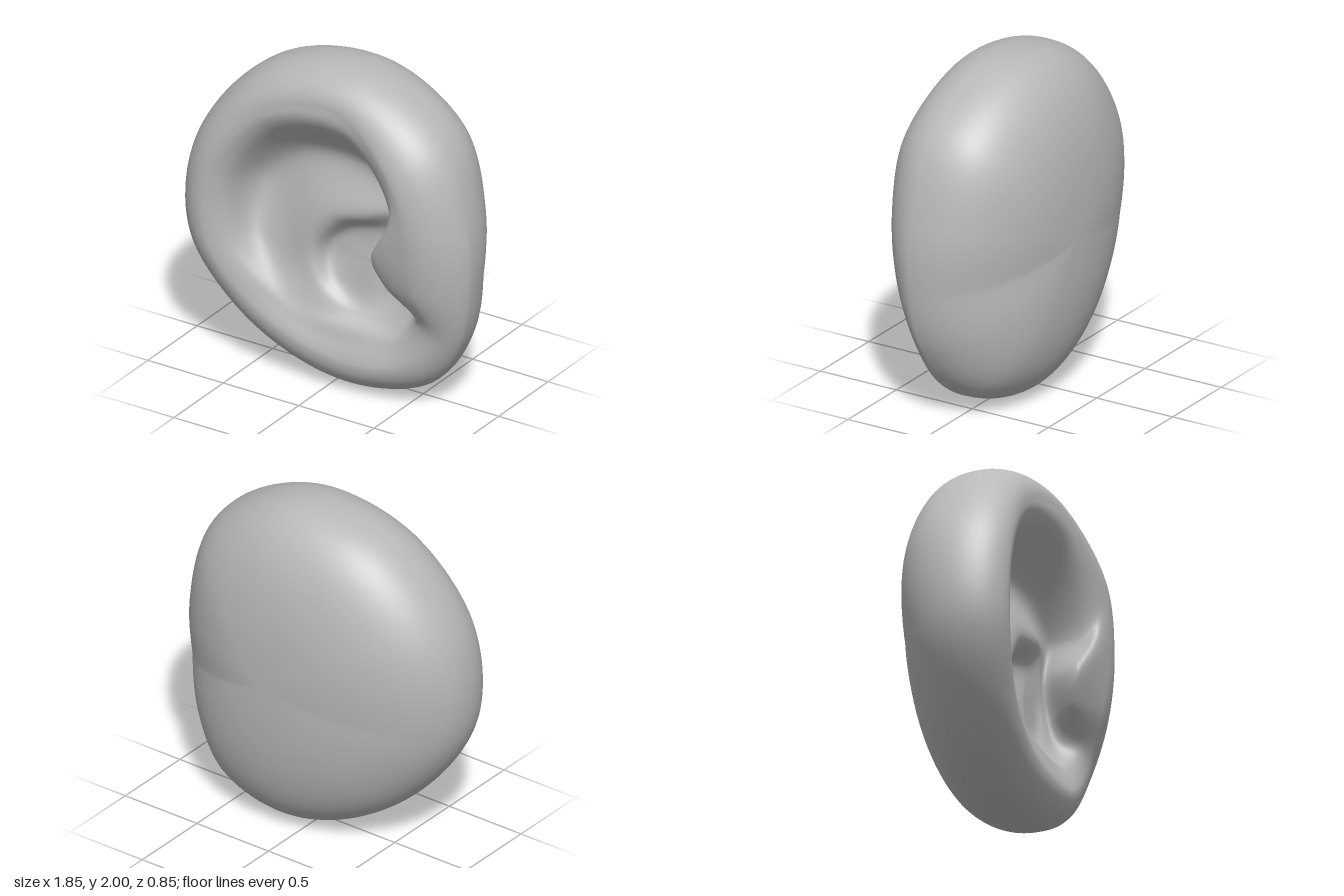
import * as THREE from 'three';

const AROUND = 144; // columns around the ear
const CENTRE = new THREE.Vector3(0.22, 0.76, 0.06); // middle of the hollow
const BACK = new THREE.Vector3(0.1, 0.97, -0.43); // middle of the rounded back

// Closed smooth loop through twelve points, counter-clockwise from +x
function loop(...p) {
  const points = [];
  for (let i = 0; i < p.length; i += 3) points.push(new THREE.Vector3(p[i], p[i + 1], p[i + 2]));
  return new THREE.CatmullRomCurve3(points, true, 'centripetal');
}

// Widest outline
const outline = loop(
  0.915, 0.8, 0.15, 0.905, 1.2, 0.15, 0.725, 1.7, 0.12, 0.2, 1.985, 0.08,
  -0.42, 1.885, 0.08, -0.845, 1.4, 0.1, -0.9, 0.8, 0.13, -0.61, 0.33, 0.1,
  -0.2, 0.065, 0.05, 0.2, 0.003, 0.02, 0.6, 0.125, 0.05, 0.83, 0.44, 0.12);
// Highest line of the rim
const crest = loop(
  0.65, 0.8, 0.35, 0.64, 1.15, 0.4, 0.54, 1.5, 0.41, 0.17, 1.8, 0.35,
  -0.35, 1.69, 0.37, -0.67, 1.28, 0.42, -0.69, 0.8, 0.41, -0.47, 0.46, 0.34,
  -0.15, 0.26, 0.29, 0.2, 0.2, 0.27, 0.5, 0.27, 0.25, 0.69, 0.52, 0.24);
// Inner lip of the rim, bulging into the flap on the right
const lip = loop(
  0.42, 0.78, 0.28, 0.37, 0.96, 0.33, 0.495, 1.23, 0.32, 0.2, 1.64, 0.32,
  -0.3, 1.58, 0.33, -0.56, 1.24, 0.35, -0.56, 0.8, 0.34, -0.33, 0.5, 0.28,
  -0.1, 0.36, 0.25, 0.2, 0.33, 0.23, 0.45, 0.38, 0.21, 0.6, 0.57, 0.22);
// Foot of the rim wall, tucked under the flap
const foot = loop(
  0.5, 0.76, 0.1, 0.46, 0.95, 0.1, 0.46, 1.19, 0.1, 0.2, 1.37, 0.08,
  -0.2, 1.35, 0.08, -0.45, 1.13, 0.1, -0.47, 0.85, 0.17, -0.27, 0.57, 0.22,
  -0.08, 0.43, 0.22, 0.2, 0.4, 0.2, 0.42, 0.43, 0.17, 0.52, 0.57, 0.12);
// Edge and floor of the inner hollow
const hollowEdge = loop(
  0.46, 0.76, 0.06, 0.42, 0.92, 0.06, 0.37, 1.1, 0.09, 0.17, 1.09, 0.14,
  -0.03, 1.03, 0.16, -0.15, 0.88, 0.17, -0.16, 0.74, 0.17, -0.08, 0.58, 0.17,
  0.05, 0.49, 0.16, 0.2, 0.46, 0.14, 0.36, 0.48, 0.12, 0.45, 0.6, 0.08);
const hollowFloor = loop(
  0.4, 0.76, 0.04, 0.36, 0.86, 0.04, 0.31, 0.96, 0.04, 0.2, 0.96, 0.04,
  0.08, 0.92, 0.04, -0.02, 0.84, 0.05, -0.05, 0.75, 0.06, -0.01, 0.65, 0.08,
  0.08, 0.58, 0.09, 0.2, 0.56, 0.09, 0.3, 0.58, 0.07, 0.38, 0.65, 0.05);

// Quarter of a rounded arch of power p, from a rim point to a crown point
function dome(rim, crown, a, p) {
  const point = crown.clone().lerp(rim, Math.max(0, Math.cos(a)) ** (2 / p));
  point.z = rim.z + (crown.z - rim.z) * Math.sin(a) ** (2 / p);
  return point;
}

// One column from the back, over the rim, into the hollow
function column(t) {
  const [rim, top, ...inner] = [outline, crest, lip, foot, hollowEdge, hollowFloor].map((c) => c.getPoint(t));
  const angle = t * Math.PI * 2;
  const backPower = 2 + 0.58 * Math.abs(Math.sin(angle)) ** 1.3; // fuller above and below
  const frontPower = 2 - 0.25 * Math.max(0, Math.cos(angle)); // flatter beside the flap
  const line = [];
  for (let i = 1; i <= 24; i++) line.push(dome(rim, BACK, (1 - i / 24) * Math.PI / 2, backPower));
  for (let i = 1; i < 14; i++) line.push(dome(rim, top, (i / 14) * Math.PI / 2, frontPower));
  const lead = dome(rim, top, Math.PI * 0.33, frontPower);
  const bowl = new THREE.CatmullRomCurve3([lead, top, ...inner, CENTRE], false, 'catmullrom', 0.5);
  for (let i = 0; i < 50; i++) line.push(bowl.getPoint(1 / 6 + (5 / 6) * (i / 50)));
  return line;
}

function earGeometry() {
  const columns = Array.from({ length: AROUND }, (_, j) => column(j / AROUND));
  const rows = columns[0].length;
  const points = [...columns.flat(), BACK, CENTRE];
  const back = AROUND * rows, centre = back + 1;
  const index = [];
  for (let j = 0; j < AROUND; j++) {
    const a = j * rows, b = ((j + 1) % AROUND) * rows;
    index.push(back, b, a);
    for (let i = 0; i < rows - 1; i++) index.push(a + i, b + i, b + i + 1, a + i, b + i + 1, a + i + 1);
    index.push(a + rows - 1, b + rows - 1, centre);
  }
  const geometry = new THREE.BufferGeometry().setFromPoints(points);
  geometry.setIndex(index);
  geometry.computeVertexNormals();
  return geometry;
}

export function createModel() {
  const grey = new THREE.MeshStandardMaterial({ color: 0xb8b8b8 });
  grey.name = 'grey';
  const ear = new THREE.Mesh(earGeometry(), grey);
  ear.name = 'ear';
  const group = new THREE.Group();
  group.name = 'earModel';
  group.add(ear);
  return group;
}
